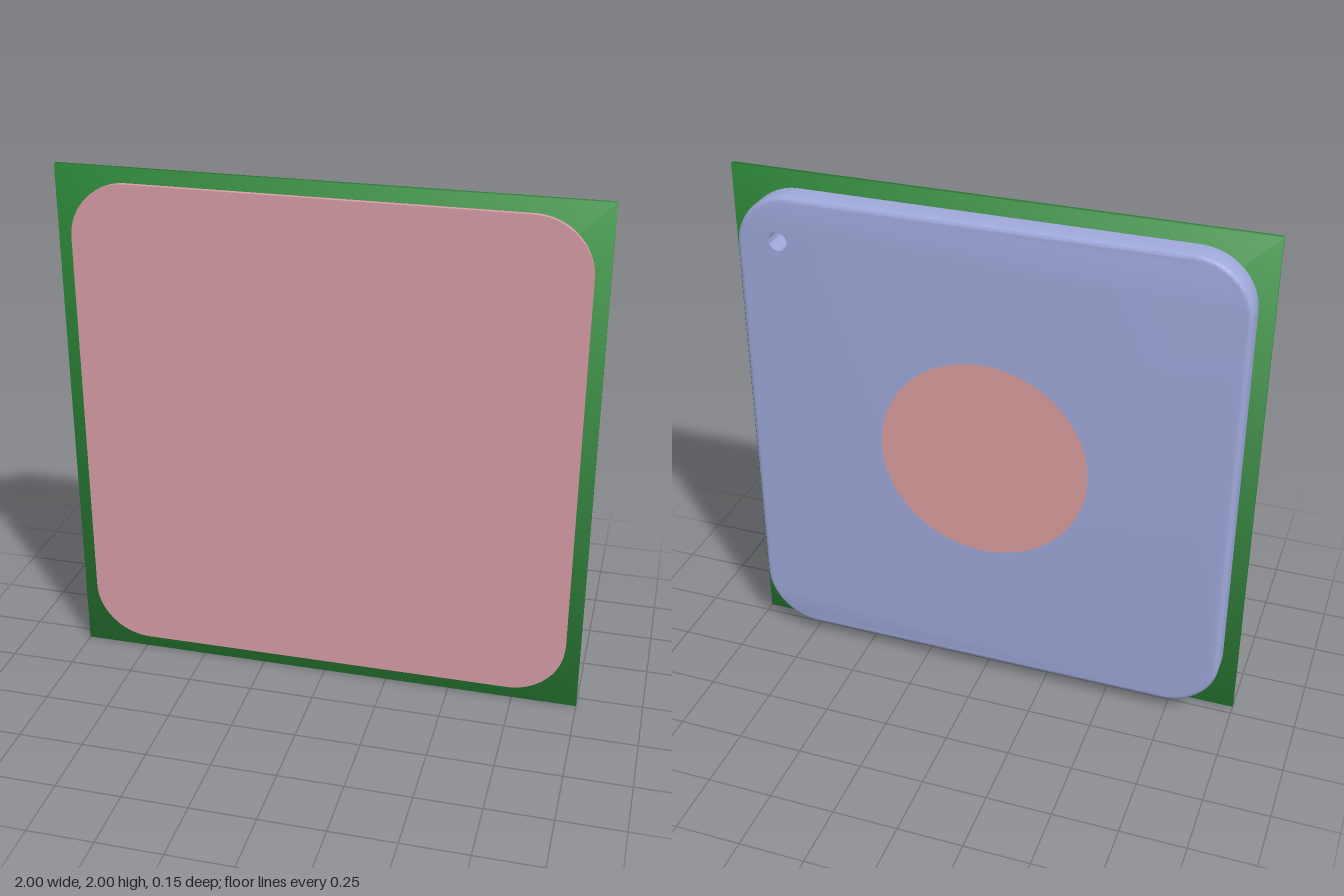
import * as THREE from 'three';
import { toCreasedNormals } from 'three/addons/utils/BufferGeometryUtils.js';

const HALF = 0.945, RADIUS = 0.215;
const HOLE = { x: 0.78, y: 0.77, r: 0.036 };

function roundedSquare() {
  const s = new THREE.Shape(), k = HALF - RADIUS;
  s.absarc(k, k, RADIUS, 0, Math.PI / 2);
  s.absarc(-k, k, RADIUS, Math.PI / 2, Math.PI);
  s.absarc(-k, -k, RADIUS, Math.PI, Math.PI * 1.5);
  s.absarc(k, -k, RADIUS, Math.PI * 1.5, Math.PI * 2);
  return s;
}

function addPart(group, name, geometry, color, z) {
  const mesh = new THREE.Mesh(geometry, new THREE.MeshStandardMaterial({ color }));
  mesh.name = name;
  mesh.position.set(0, 1, z);
  group.add(mesh);
  return mesh;
}

// Rounded back body with filleted rims and a straight-walled round hole
function bodyGeometry(depth, fillet) {
  const shape = roundedSquare();
  shape.holes.push(new THREE.Path().absarc(HOLE.x, HOLE.y, HOLE.r, 0, Math.PI * 2, true));
  const geo = new THREE.ExtrudeGeometry(shape, {
    depth: depth - 2 * fillet, curveSegments: 16,
    bevelThickness: fillet, bevelSize: fillet, bevelOffset: -fillet, bevelSegments: 5,
  });
  geo.translate(0, 0, fillet);
  // The fillet also widens the hole, so pull its rim back to a cylinder
  const p = geo.attributes.position;
  for (let i = 0; i < p.count; i++) {
    const dx = p.getX(i) - HOLE.x, dy = p.getY(i) - HOLE.y, d = Math.hypot(dx, dy);
    if (d < 0.08) p.setXY(i, HOLE.x + dx / d * HOLE.r, HOLE.y + dy / d * HOLE.r);
  }
  return toCreasedNormals(geo, 0.6);
}

// Thin square sheet with corner normals shared between its faces
function sheetGeometry(size, depth) {
  const geo = new THREE.BoxGeometry(size, size, depth);
  const p = geo.attributes.position, n = geo.attributes.normal, c = 1 / Math.sqrt(3);
  for (let i = 0; i < p.count; i++) {
    n.setXYZ(i, Math.sign(p.getX(i)) * c, Math.sign(p.getY(i)) * c, Math.sign(p.getZ(i)) * c);
  }
  return geo;
}

export function createModel() {
  const group = new THREE.Group();
  group.name = 'squarePanel';

  addPart(group, 'backBody', bodyGeometry(0.111, 0.02), 0x9fa8da, -0.073);
  addPart(group, 'middleSheet', sheetGeometry(2, 0.017), 0x2e8b3a, 0.0465);

  const front = new THREE.ExtrudeGeometry(roundedSquare(),
    { depth: 0.018, bevelEnabled: false, curveSegments: 16 });
  addPart(group, 'frontPlate', toCreasedNormals(front, 0.6), 0xd89ca6, 0.055);

  // Round inlay, practically flush with the back face
  const disc = addPart(group, 'backDisc', new THREE.CircleGeometry(0.405, 64), 0xdc9f9f, -0.074);
  disc.rotation.y = Math.PI;

  return group;
}
